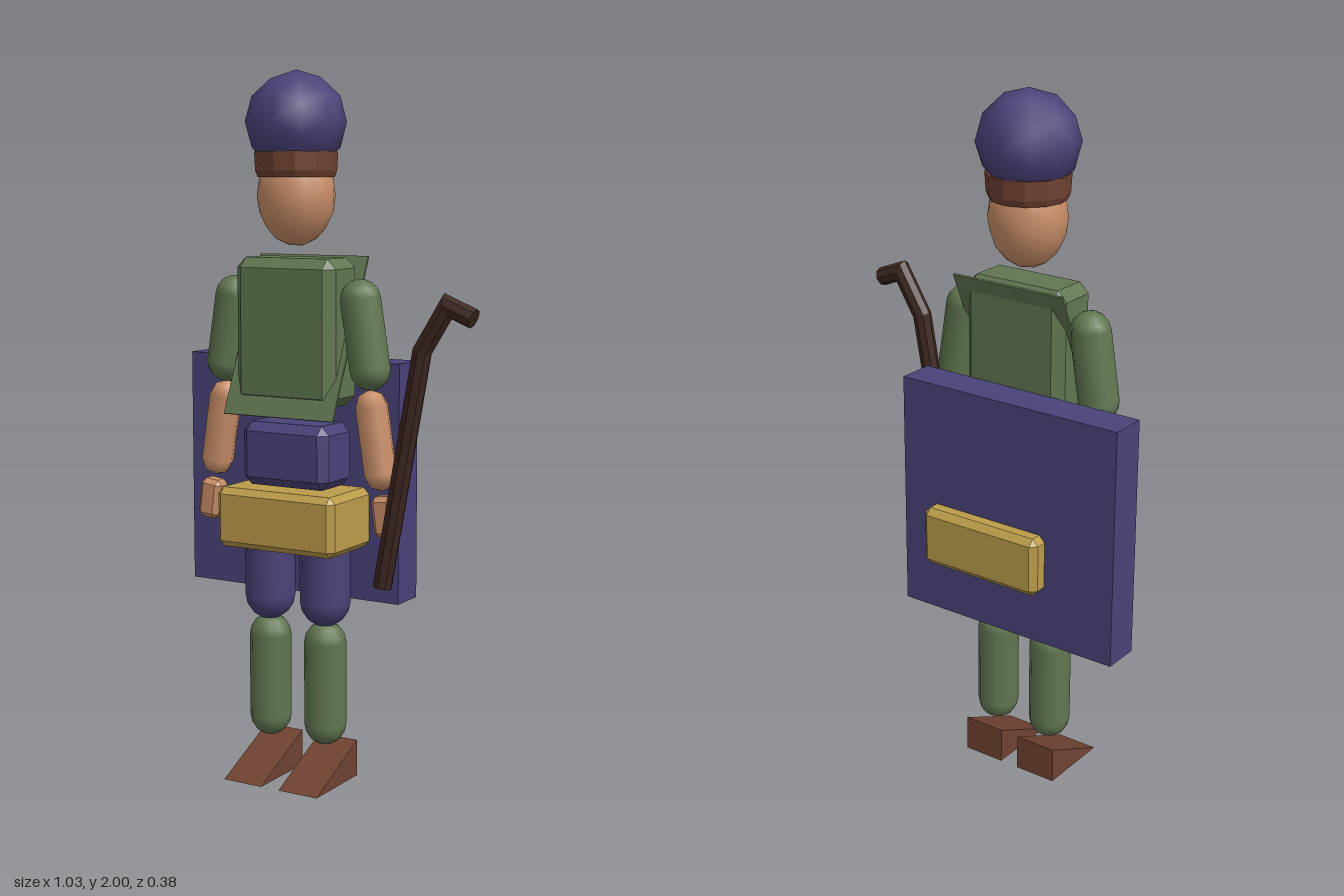
import * as THREE from 'three';
import { ConvexGeometry } from 'three/addons/geometries/ConvexGeometry.js';

const CX = -0.11; // centre line of the figure
const CZ = 0.037; // depth of the figure's axis

const mat = (color, extra = {}) => new THREE.MeshStandardMaterial({ color, ...extra });
const green = mat(0x607650);
const purple = mat(0x4a4278);
const gold = mat(0xbb9c4a);
const skin = mat(0xc88e68);
const brown = mat(0x6f4232);
const darkWood = mat(0x3c2620, { flatShading: true });

function add(parent, name, geometry, material, x = 0, y = 0, z = 0) {
  const mesh = new THREE.Mesh(geometry, material);
  mesh.name = name;
  mesh.position.set(x, y, z);
  parent.add(mesh);
  return mesh;
}

// Box with all edges cut by a single flat chamfer
function chamferBox(w, h, d, c) {
  const half = [w / 2, h / 2, d / 2];
  const points = [];
  for (const sx of [-1, 1]) for (const sy of [-1, 1]) for (const sz of [-1, 1]) {
    for (let face = 0; face < 3; face++) {
      const p = [sx, sy, sz].map((s, i) => s * (half[i] - (i === face ? 0 : c)));
      points.push(new THREE.Vector3(...p));
    }
  }
  return new ConvexGeometry(points);
}

// Capsule between two joint centres
function limb(parent, name, material, a, b, r, caps = 4, sides = 12) {
  const from = new THREE.Vector3(...a), to = new THREE.Vector3(...b);
  const dir = from.clone().sub(to);
  const mesh = add(parent, name, new THREE.CapsuleGeometry(r, dir.length(), caps, sides), material);
  mesh.position.copy(from).add(to).multiplyScalar(0.5);
  mesh.quaternion.setFromUnitVectors(new THREE.Vector3(0, 1, 0), dir.normalize());
  return mesh;
}

// Eight-sided rod following a bent path in the xy plane, with mitred corners
function bentRod(path, r) {
  const pts = path.map((p) => new THREE.Vector2(...p));
  const n = pts.length - 1;
  const geo = new THREE.CylinderGeometry(r, r, 1, 8, n);
  const dirs = pts.slice(1).map((p, i) => p.clone().sub(pts[i]).normalize());
  const pos = geo.attributes.position;
  for (let i = 0; i < pos.count; i++) {
    const k = Math.round((pos.getY(i) + 0.5) * n);
    const before = dirs[Math.max(k - 1, 0)], after = dirs[Math.min(k, n - 1)];
    const t = before.clone().add(after).normalize();
    const offset = pos.getX(i) / t.dot(before);
    pos.setXY(i, pts[k].x + t.y * offset, pts[k].y - t.x * offset);
  }
  geo.computeVertexNormals();
  return geo;
}

// Shoe wedge: tall at the heel, sharp at the toe
function wedge(width, height, heelZ, toeZ) {
  const side = new THREE.Shape([
    new THREE.Vector2(-heelZ, 0),
    new THREE.Vector2(-heelZ, height),
    new THREE.Vector2(-toeZ, 0),
  ]);
  const geo = new THREE.ExtrudeGeometry(side, { depth: width, bevelEnabled: false });
  return geo.translate(0, 0, -width / 2).rotateY(Math.PI / 2);
}

export function createModel() {
  const model = new THREE.Group();
  model.name = 'walkerWithPack';

  // Head, hat band and hat
  const head = new THREE.IcosahedronGeometry(1, 2).scale(0.111, 0.14, 0.103);
  add(model, 'head', head, skin, CX, 1.66, CZ);
  const band = new THREE.LatheGeometry([
    [0, -0.037], [0.106, -0.037], [0.113, -0.02], [0.116, 0.033], [0, 0.033],
  ].map((p) => new THREE.Vector2(...p)), 12).toNonIndexed();
  band.computeVertexNormals();
  add(model, 'hatBand', band, brown, CX, 1.747, CZ);
  const hat = add(model, 'hat', new THREE.IcosahedronGeometry(0.141, 1), purple, CX, 1.86, CZ);
  hat.rotation.y = 0.1;

  // Torso, waist and slanted tunic panel
  add(model, 'torso', chamferBox(0.32, 0.41, 0.16, 0.028), green, CX, 1.285, 0.04);
  add(model, 'waist', chamferBox(0.28, 0.18, 0.16, 0.025), purple, CX, 0.94, 0.04);
  const panel = add(model, 'tunicPanel', new THREE.BoxGeometry(0.355, 0.482, 0.006), green, CX, 1.272, 0.041);
  panel.rotation.x = -Math.atan2(0.195, 0.44);

  // Satchel and the large flat pack on the back
  add(model, 'satchel', chamferBox(0.383, 0.17, 0.363, 0.018), gold, CX, 0.76, -0.013);
  add(model, 'backBoard', new THREE.BoxGeometry(0.696, 0.68, 0.108), purple, -0.172, 0.86, -0.092);

  // Arms and legs, mirrored about the figure's centre line
  for (const s of [-1, 1]) {
    const side = s > 0 ? 'left' : 'right';
    const x = (d) => CX + s * d;

    limb(model, side + 'UpperArm', green, [x(0.205), 1.38, CZ], [x(0.236), 1.187, CZ], 0.056);
    limb(model, side + 'Forearm', skin, [x(0.241), 1.088, CZ], [x(0.27), 0.902, CZ], 0.047, 2, 8);
    const hand = add(model, side + 'Hand', chamferBox(0.068, 0.115, 0.06, 0.014), skin, x(0.288), 0.786, CZ);
    hand.rotation.z = s * 0.13;

    limb(model, side + 'Thigh', purple, [x(0.092), 0.76, CZ], [x(0.092), 0.523, CZ], 0.072);
    limb(model, side + 'Shin', green, [x(0.092), 0.405, CZ], [x(0.092), 0.165, CZ], 0.06);
    add(model, side + 'Shoe', wedge(0.126, 0.105, -0.035, 0.19), brown, x(0.092), 0, 0);
  }

  // Walking stick with a bent handle
  const stick = bentRod([[0.236, 0.62], [0.352, 1.262], [0.426, 1.382], [0.5, 1.352]], 0.027);
  add(model, 'walkingStick', stick, darkWood, 0, 0, 0.163);

  return model;
}
